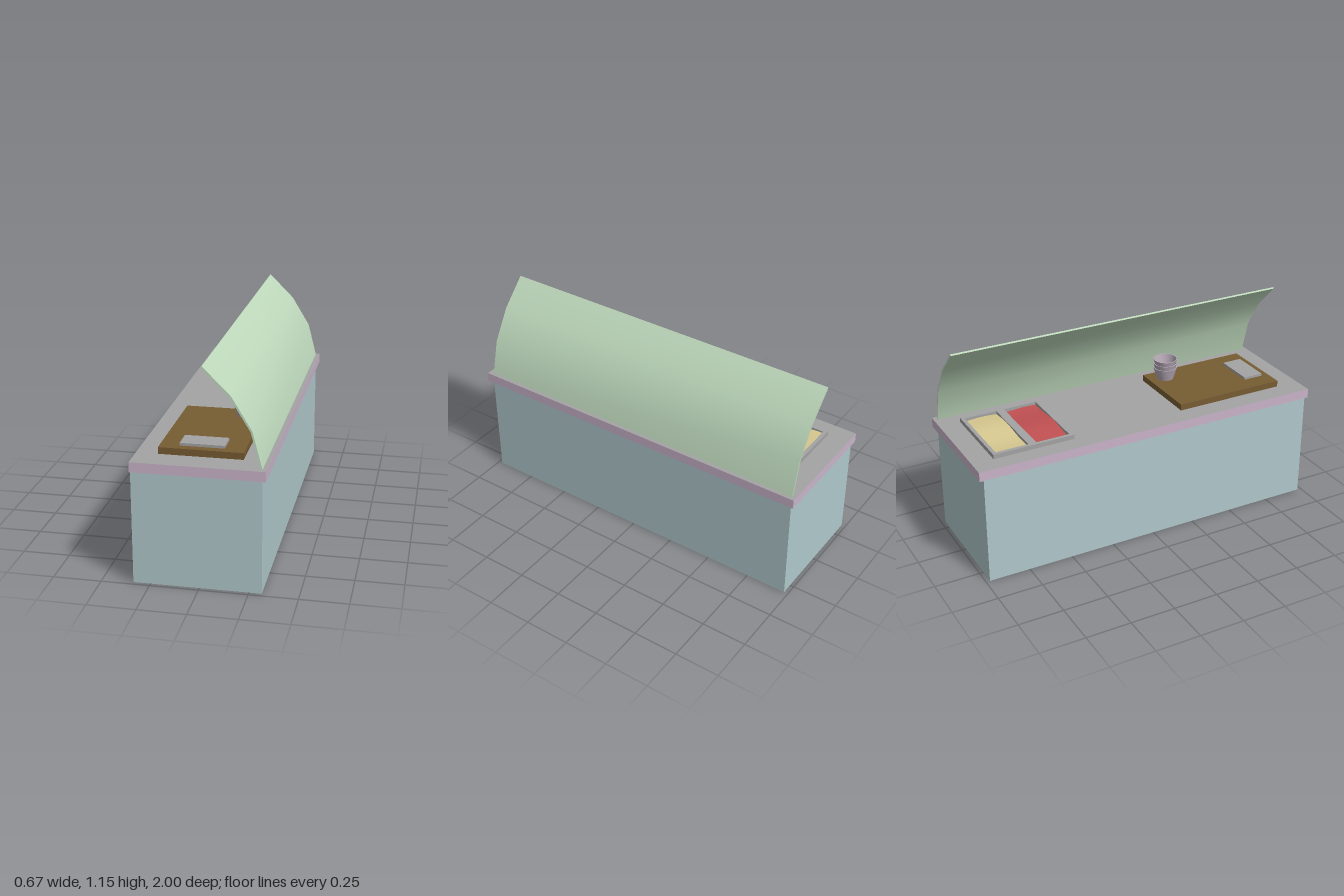
import * as THREE from 'three';
import { toCreasedNormals } from 'three/addons/utils/BufferGeometryUtils.js';

function paint(name, color, side = THREE.FrontSide) {
  const m = new THREE.MeshStandardMaterial({ color, side });
  m.name = name;
  return m;
}

export function createModel() {
  const group = new THREE.Group();
  const blue = paint('pale blue', 0xb0c8cb, THREE.DoubleSide);
  const pink = paint('dusty pink', 0xc9b4c9);
  const grey = paint('grey', 0xa3a3a3);
  const green = paint('pale green', 0xbfdabd, THREE.DoubleSide);
  const brown = paint('wood brown', 0x765c32);
  const red = paint('red', 0xc05052, THREE.DoubleSide);
  const yellow = paint('cream yellow', 0xd8c990, THREE.DoubleSide);
  const cupColor = paint('cup mauve', 0xb5a8b5, THREE.DoubleSide);

  function add(name, geometry, material) {
    const mesh = new THREE.Mesh(geometry, material);
    mesh.name = name;
    group.add(mesh);
    return mesh;
  }
  // Box given by its limits on each axis
  function block(name, [x0, x1], [y0, y1], [z0, z1], material) {
    const g = new THREE.BoxGeometry(x1 - x0, y1 - y0, z1 - z0);
    g.translate((x0 + x1) / 2, (y0 + y1) / 2, (z0 + z1) / 2);
    return add(name, g, material);
  }

  // Cabinet: four walls, open underneath
  const cabinet = block('cabinet', [-0.338, 0.315], [0, 0.605], [-0.978, 0.978], blue);
  const faces = Array.from(cabinet.geometry.index.array);
  cabinet.geometry.clearGroups();
  cabinet.geometry.setIndex([...faces.slice(0, 12), ...faces.slice(24)]);

  // Countertop with pink edges and a grey upper face
  block('countertop', [-0.338, 0.335], [0.603, 0.655], [-1, 1], [pink, pink, grey, pink, pink, pink]);

  // Curved guard: thin bent sheet running the length of the counter
  const outer = [[0.313, 0.655], [0.264, 0.845], [0.162, 1.012], [0.022, 1.152]];
  const inner = [[0.016, 1.145], [0.154, 1.006], [0.255, 0.841], [0.304, 0.655]];
  const profile = new THREE.Shape([...outer, ...inner].map(([x, y]) => new THREE.Vector2(x, y)));
  const guard = new THREE.ExtrudeGeometry(profile, { depth: 1.955, bevelEnabled: false });
  guard.translate(0, 0, -0.98);
  add('curvedGuard', toCreasedNormals(guard, 0.6), green);

  // Food tray: frame with two wells, drawn in x and -z
  const rect = (Type, x0, x1, z0, z1) => new Type([[x0, -z1], [x1, -z1], [x1, -z0], [x0, -z0]]
    .map(([x, y]) => new THREE.Vector2(x, y)));
  const wells = [
    { name: 'creamFilling', z: [-0.862, -0.68], material: yellow, phase: 0.4 },
    { name: 'redFilling', z: [-0.635, -0.447], material: red, phase: 2.2 },
  ];
  const frame = rect(THREE.Shape, -0.242, 0.22, -0.882, -0.425);
  for (const w of wells) frame.holes.push(rect(THREE.Path, -0.222, 0.2, ...w.z));
  const tray = new THREE.ExtrudeGeometry(frame, { depth: 0.026, bevelEnabled: false });
  tray.rotateX(-Math.PI / 2).translate(0, 0.654, 0);
  add('foodTray', tray, grey);

  // Lumpy fillings in the wells
  for (const w of wells) {
    const [z0, z1] = w.z;
    const g = new THREE.PlaneGeometry(0.422, z1 - z0, 16, 8);
    g.rotateX(-Math.PI / 2).translate(-0.011, 0, (z0 + z1) / 2);
    const p = g.attributes.position;
    for (let i = 0; i < p.count; i++) {
      const x = p.getX(i), z = p.getZ(i);
      p.setY(i, 0.667 + 0.006 * Math.sin(17 * x + w.phase) + 0.003 * Math.sin(25 * z + 9 * x));
    }
    g.computeVertexNormals();
    add(w.name, g, w.material);
  }

  // Serving board and plate
  block('servingBoard', [-0.226, 0.202], [0.655, 0.69], [0.23, 0.865], brown);
  block('plate', [-0.126, 0.1], [0.69, 0.704], [0.708, 0.823], grey);

  // Stack of nested tapered cups
  const cupProfile = [[0, 0], [0.048, 0], [0.068, 0.07], [0.063, 0.07], [0.045, 0.005], [0, 0.005]]
    .map(([x, y]) => new THREE.Vector2(x, y));
  for (let i = 0; i < 3; i++) {
    const g = toCreasedNormals(new THREE.LatheGeometry(cupProfile, 20), 0.6);
    add('cup' + (i + 1), g, cupColor).position.set(0.115, 0.69 + i * 0.025, 0.325);
  }
  return group;
}
